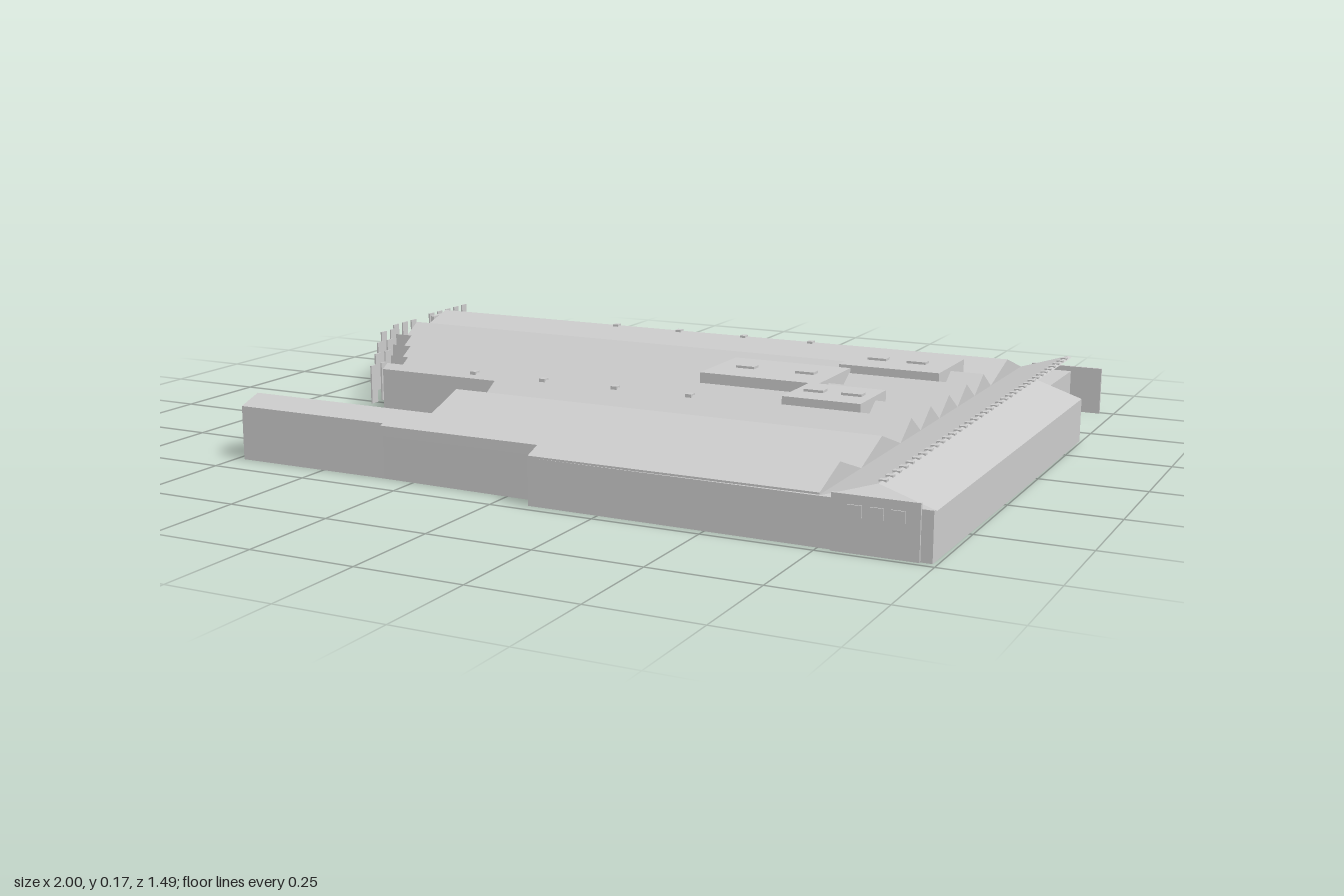
import * as THREE from 'three';

const EAVE = 0.107, RIDGE = 0.15;
const grey = new THREE.MeshStandardMaterial({ color: 0xcccccc, flatShading: true });
const sheet = new THREE.MeshStandardMaterial({ color: 0xcccccc, flatShading: true, side: THREE.DoubleSide });

// Hall roof section: alternating valleys and ridges from back to front
const folds = [-0.74, -0.605, -0.46, -0.39, -0.32, -0.25, -0.18, -0.11, -0.04, 0.028,
  0.097, 0.165, 0.235, 0.36, 0.485, 0.61, 0.735];

// Roof bays: [back z, front z, west x, east x]
const bays = [
  [-0.74, -0.44, -0.985, 0.75], [-0.44, -0.28, -0.945, 0.75], [-0.28, -0.14, -0.86, 0.75],
  [-0.14, 0, -0.77, 0.75], [0, 0.135, -0.685, 0.75], [0.135, 0.185, -0.665, 0.75],
  [0.185, 0.575, -0.33, 0.75], [0.575, 0.67, -0.33, 0.75], [0.67, 0.722, 0.08, 0.75],
  [0.67, 0.68, -0.33, 0.08], [0.55, 0.67, -0.73, -0.55], [0.575, 0.67, -0.55, -0.33],
];

function roofHeight(z) {
  for (let i = 0; i < folds.length - 1; i++) {
    if (z <= folds[i + 1]) {
      const t = (z - folds[i]) / (folds[i + 1] - folds[i]);
      return EAVE + (RIDGE - EAVE) * (i % 2 ? 1 - t : t);
    }
  }
  return EAVE;
}

function add(parent, name, geometry, material = grey) {
  const mesh = new THREE.Mesh(geometry, material);
  mesh.name = name;
  parent.add(mesh);
  return mesh;
}

// Box given by its minimum and maximum corners
function box(parent, name, x0, x1, y0, y1, z0, z1) {
  const mesh = add(parent, name, new THREE.BoxGeometry(x1 - x0, y1 - y0, z1 - z0));
  mesh.position.set((x0 + x1) / 2, (y0 + y1) / 2, (z0 + z1) / 2);
  return mesh;
}

// Sloping rectangular sheet running along z
function slope(parent, name, xa, ya, xb, yb, z0, z1) {
  const g = new THREE.PlaneGeometry(Math.hypot(xb - xa, yb - ya), z1 - z0);
  g.rotateX(-Math.PI / 2).rotateZ(Math.atan2(yb - ya, xb - xa));
  g.translate((xa + xb) / 2, (ya + yb) / 2, (z0 + z1) / 2);
  add(parent, name, g, sheet);
}

export function createModel() {
  const model = new THREE.Group();
  model.name = 'factoryHall';

  // Walls: stepped floor plan raised to the eaves
  const plan = [
    [-0.985, -0.74], [0.885, -0.74], [0.885, -0.405], [0.995, -0.405], [0.995, 0],
    [0.99, 0.732], [0.08, 0.722], [0.08, 0.68], [-0.33, 0.67], [-0.73, 0.67], [-0.73, 0.55],
    [-0.55, 0.55], [-0.55, 0.575], [-0.33, 0.575], [-0.33, 0.185], [-0.665, 0.185],
    [-0.665, 0.135], [-0.685, 0.135], [-0.685, 0], [-0.77, 0], [-0.77, -0.14], [-0.86, -0.14],
    [-0.86, -0.28], [-0.945, -0.28], [-0.945, -0.44], [-0.985, -0.44],
  ].map(([x, z]) => new THREE.Vector2(x, -z));
  const walls = new THREE.ExtrudeGeometry(new THREE.Shape(plan), { depth: EAVE, bevelEnabled: false });
  add(model, 'walls', walls.rotateX(-Math.PI / 2));

  // Folded hall roof, one extruded section per bay
  const roof = new THREE.Group();
  roof.name = 'hallRoof';
  model.add(roof);
  for (const [z0, z1, x0, x1] of bays) {
    const stops = [z0, ...folds.filter((z) => z > z0 + 0.001 && z < z1 - 0.001), z1];
    const outline = stops.map((z) => new THREE.Vector2(-z, roofHeight(z)));
    outline.push(new THREE.Vector2(-z1, EAVE - 0.004), new THREE.Vector2(-z0, EAVE - 0.004));
    const g = new THREE.ExtrudeGeometry(new THREE.Shape(outline), { depth: x1 - x0, bevelEnabled: false });
    add(roof, 'roofBay', g.rotateY(Math.PI / 2).translate(x0, 0, 0));
  }

  // Cross wing roof with open ends
  const wing = new THREE.Group();
  wing.name = 'crossWing';
  model.add(wing);
  slope(wing, 'wingRoofWest', 0.75, EAVE, 0.875, 0.147, -0.74, 0.73);
  slope(wing, 'wingRoofEast', 0.875, 0.147, 0.995, EAVE, -0.405, 0.73);
  slope(wing, 'wingRoofStub', 0.875, 0.147, 0.885, 0.144, -0.74, -0.405);
  for (let i = 0; i < 36; i++) {
    const z = -0.7 + i * 0.04;
    box(wing, 'ridgeCap', 0.867, 0.883, 0.142, 0.149, z - 0.007, z + 0.007);
  }

  // End facades of the wing, with raised panels
  box(wing, 'frontFacade', 0.78, 0.965, 0, 0.12, 0.73, 0.737);
  box(wing, 'backFacade', 0.78, 0.965, 0, 0.12, -0.745, -0.738);
  for (const x of [0.83, 0.875, 0.92]) {
    box(wing, 'facadePanel', x - 0.015, x + 0.015, 0.075, 0.1, 0.736, 0.74);
    box(wing, 'facadePanel', x - 0.015, x + 0.015, 0.03, 0.09, -0.748, -0.744);
  }

  // Thin fins standing off the stepped west ends: [x, back z, front z]
  const fins = new THREE.Group();
  fins.name = 'westFins';
  model.add(fins);
  const rows = [[-0.998, -0.74, -0.54], [-0.982, -0.44, -0.33], [-0.945, -0.28, -0.2],
    [-0.86, -0.14, -0.06], [-0.77, 0, 0.08], [-0.685, 0.14, 0.22]];
  for (const [x, z0, z1] of rows) {
    for (let z = z0; z < z1 - 0.01; z += 0.045) {
      box(fins, 'fin', x - 0.002, x + 0.002, 0.05, 0.148, z, z + 0.025);
    }
  }
  box(fins, 'gablePanel', -0.998, -0.985, 0, 0.14, -0.62, -0.54);

  // Rooftop plant rooms with paired vents: [x0, x1, z0, z1, vent x, vent x]
  const plants = [[0.4, 0.665, -0.5, -0.295, 0.47, 0.575], [0.13, 0.445, -0.258, -0.04, 0.21, 0.37],
    [0.42, 0.615, -0.045, 0.128, 0.47, 0.565]];
  for (const [x0, x1, z0, z1, ...vents] of plants) {
    box(model, 'plantRoom', x0, x1, EAVE, 0.161, z0, z1);
    for (const x of vents) {
      const zc = (z0 + z1) / 2;
      box(model, 'roofVent', x - 0.025, x + 0.025, 0.16, 0.167, zc - 0.014, zc + 0.014);
    }
  }

  // Small ridge vents on the hall
  for (const z of [-0.605, 0.165]) {
    for (const x of [-0.4, -0.2, 0, 0.2]) {
      box(model, 'ridgeVent', x - 0.008, x + 0.008, 0.145, 0.153, z - 0.01, z + 0.01);
    }
  }
  return model;
}
